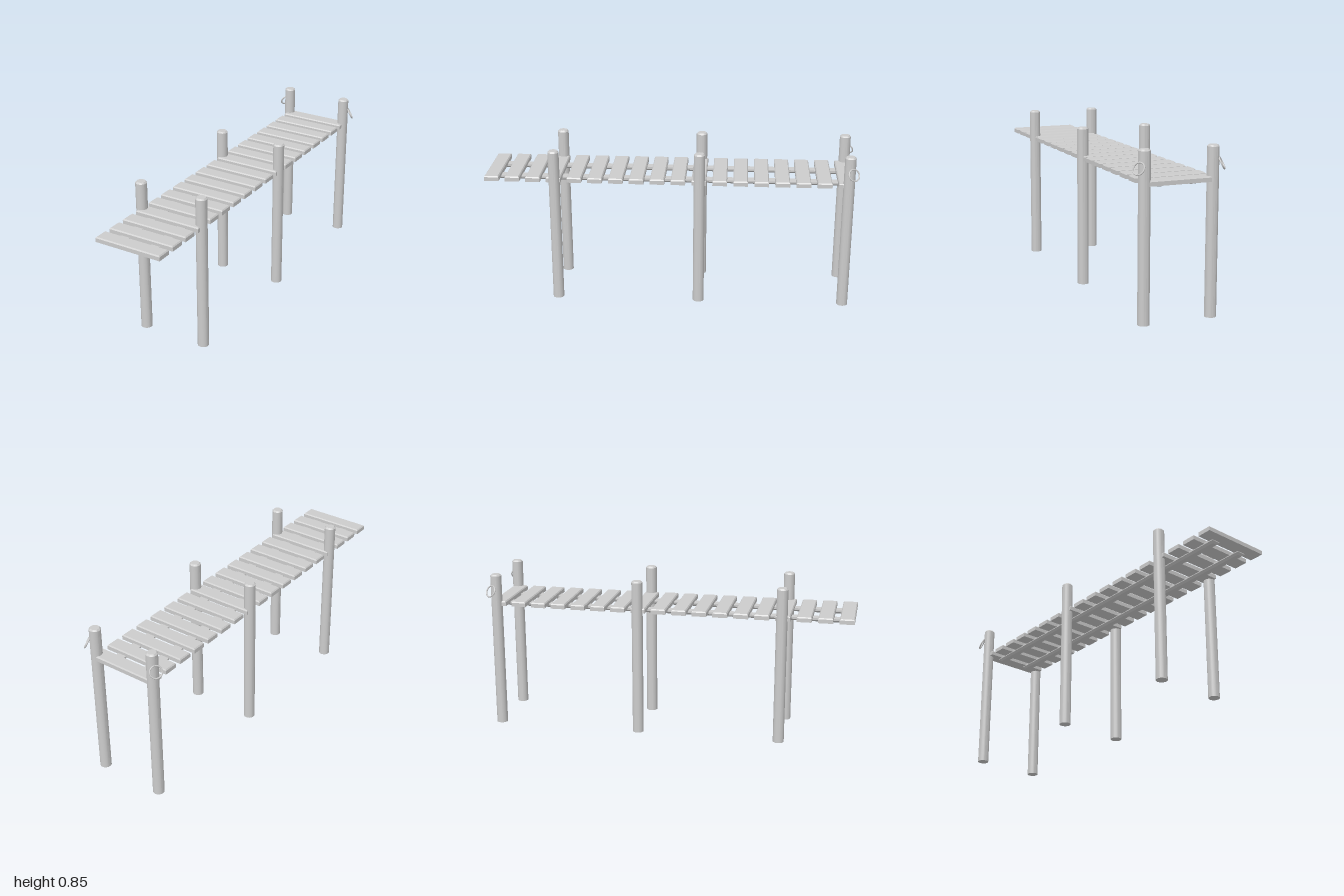
import * as THREE from 'three';
import { toCreasedNormals } from 'three/addons/utils/BufferGeometryUtils.js';

const material = new THREE.MeshStandardMaterial({ color: 0xcccccc });
const flatMaterial = new THREE.MeshStandardMaterial({ color: 0xcccccc, flatShading: true });

// Box whose top edges are chamfered by "inset" sideways and "drop" downwards
function chamferedBox(width, height, depth, inset, drop) {
  const geometry = new THREE.BoxGeometry(width, height, depth, 1, 2, 1);
  const p = geometry.attributes.position;
  for (let i = 0; i < p.count; i++) {
    const y = p.getY(i);
    if (Math.abs(y) < 1e-6) p.setY(i, height / 2 - drop);
    else if (y > 0) {
      p.setX(i, p.getX(i) - Math.sign(p.getX(i)) * inset);
      p.setZ(i, p.getZ(i) - Math.sign(p.getZ(i)) * inset);
    }
  }
  return geometry;
}

export function createModel() {
  const model = new THREE.Group();
  model.name = 'pier';

  const add = (name, geometry, mat, x, y, z) => {
    const mesh = new THREE.Mesh(geometry, mat);
    mesh.name = name;
    mesh.position.set(x, y, z);
    model.add(mesh);
    return mesh;
  };

  // Deck planks
  const plank = chamferedBox(0.376, 0.027, 0.078, 0.005, 0.006);
  const count = 18, firstZ = 0.961, lastZ = -0.931;
  for (let i = 0; i < count; i++) {
    const z = THREE.MathUtils.lerp(firstZ, lastZ, i / (count - 1));
    add('plank', plank, flatMaterial, 0, 0.6905, z);
  }

  // Round posts with a chamfered top
  const post = toCreasedNormals(new THREE.LatheGeometry([
    [0, 0], [0.03, 0], [0.03, 0.846], [0.023, 0.854], [0, 0.854],
  ].map(([r, y]) => new THREE.Vector2(r, y)), 20), 0.5);

  // Long rails under the deck, chamfered along the underside
  const rail = chamferedBox(0.05, 0.02, 1.87, 0.011, 0.01);
  rail.rotateX(Math.PI);

  // Mooring rings
  const ring = new THREE.TorusGeometry(0.031, 0.004, 8, 28);

  for (const side of [-1, 1]) {
    for (const z of [0.622, -0.155, -0.945]) add('post', post, material, side * 0.18, 0, z);
    add('rail', rail, flatMaterial, side * 0.09, 0.673, 0.012);
    const mooring = add('mooringRing', ring, material, side * 0.218, 0.765, -0.964);
    const axis = new THREE.Vector3(side * 0.85, 0.5, -0.5).normalize();
    mooring.quaternion.setFromUnitVectors(new THREE.Vector3(0, 0, 1), axis);
  }

  return model;
}
